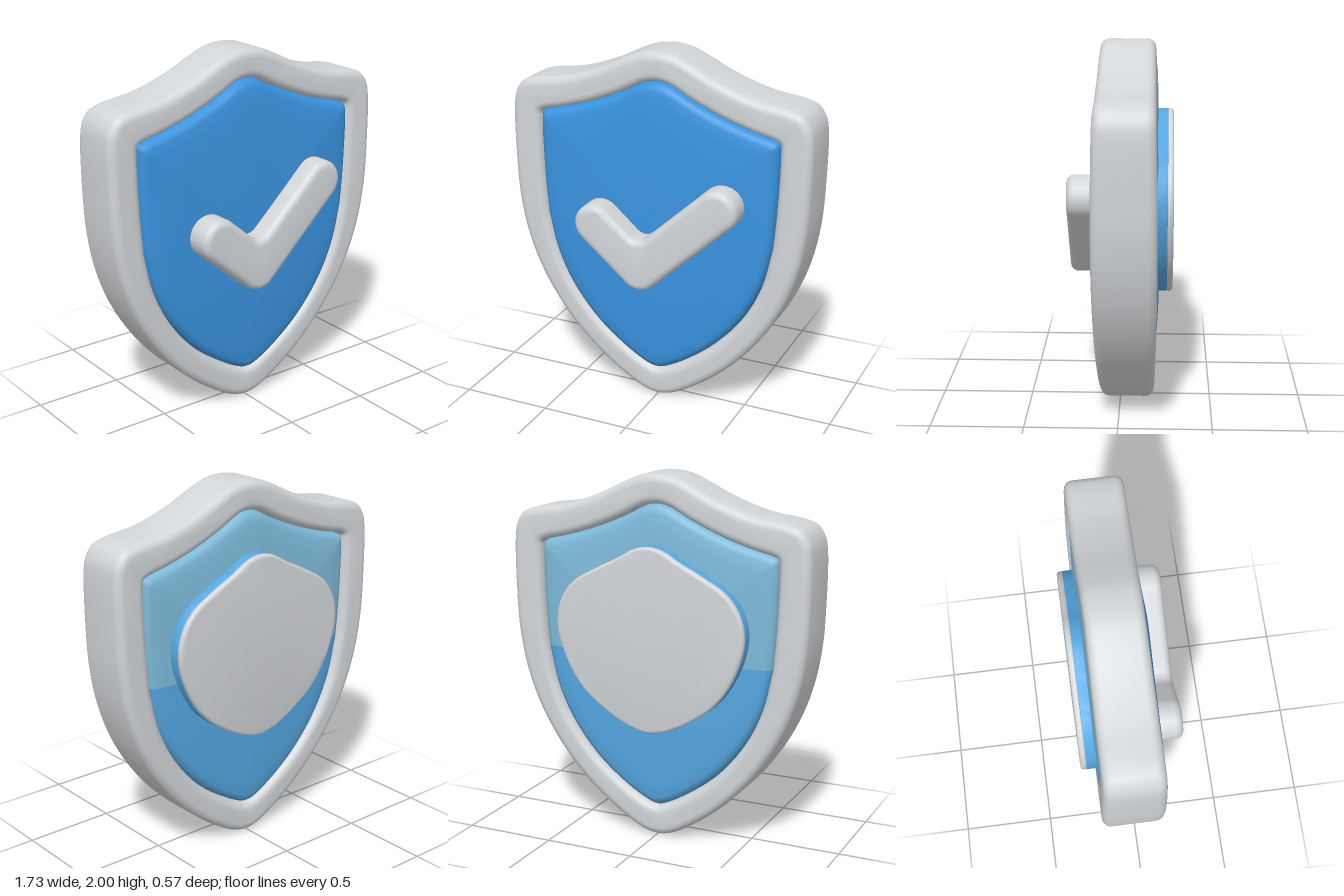
import * as THREE from 'three';
import { toCreasedNormals } from 'three/addons/utils/BufferGeometryUtils.js';

const MID_Y = 1.02; // height where the back panel changes tone

// Smooth curve through [x, y] pairs
function smooth(pairs, closed, n) {
  const curve = new THREE.CatmullRomCurve3(pairs.map(([x, y]) => new THREE.Vector3(x, y, 0)), closed);
  const pts = curve.getPoints(n).map((p) => new THREE.Vector2(p.x, p.y));
  if (closed) pts.pop();
  return pts;
}

// Mirror a right-hand half whose first and last points may lie on x = 0
function mirror(half) {
  const other = half.filter(([x]) => x > 0).reverse().map(([x, y]) => [-x, y]);
  return [...half, ...other];
}

// Rounded slab between two z values, keeping the outline at full size
function slab(shape, zBack, zFront, bevel) {
  const geo = new THREE.ExtrudeGeometry(shape, {
    depth: zFront - zBack - 2 * bevel, curveSegments: 16,
    bevelEnabled: true, bevelSize: bevel, bevelThickness: bevel, bevelOffset: -bevel, bevelSegments: 5,
  });
  return geo.translate(0, 0, zBack + bevel);
}

// Move vertices along z by a rule
function moveZ(geo, rule) {
  const p = geo.attributes.position;
  for (let i = 0; i < p.count; i++) p.setZ(i, rule(p.getX(i), p.getY(i), p.getZ(i)));
  return geo;
}

// Domed sheet: rings of the outline shrinking towards the centre
function dome(points, closed, back) {
  const rings = [[1, 0.04], [0.992, 0.09], [0.975, 0.112], [0.94, 0.124], [0.85, 0.132], [0.6, 0.143], [0.3, 0.15], [0, 0.152]];
  const pos = [], index = [], n = points.length;
  for (const [t, z] of rings) {
    for (const p of points) pos.push(p.x * t, MID_Y + (p.y - MID_Y) * t, back ? -z - 0.065 : z);
  }
  for (let r = 0; r < rings.length - 1; r++) {
    for (let i = 0; i < (closed ? n : n - 1); i++) {
      const j = (i + 1) % n;
      const a = r * n + i, b = r * n + j, c = a + n, d = b + n;
      const tris = r === rings.length - 2 ? [[a, b, c]] : [[a, b, d], [a, d, c]];
      for (const [u, v, w] of tris) index.push(...(back ? [u, w, v] : [u, v, w]));
    }
  }
  const geo = new THREE.BufferGeometry();
  geo.setAttribute('position', new THREE.Float32BufferAttribute(pos, 3));
  geo.setIndex(index);
  geo.computeVertexNormals();
  return geo;
}

// Rounded tick outline around a bent centre line
function tickShape() {
  const A = new THREE.Vector2(-0.295, 1.055), B = new THREE.Vector2(-0.035, 0.83), C = new THREE.Vector2(0.405, 1.237);
  const r = 0.115, q = Math.PI / 2;
  const d1 = B.clone().sub(A).angle() - 2 * Math.PI;
  const d2 = C.clone().sub(B).angle();
  const mid = (d1 + d2) / 2 + q, reach = r / Math.cos((d2 - d1) / 2);
  const K = new THREE.Vector2(B.x + Math.cos(mid) * reach, B.y + Math.sin(mid) * reach);
  const s = new THREE.Shape();
  s.absarc(B.x, B.y, r, d1 - q, d2 - q, false);
  s.absarc(C.x, C.y, r, d2 - q, d2 + q, false);
  s.lineTo(K.x + 0.07 * Math.cos(d2), K.y + 0.07 * Math.sin(d2));
  s.quadraticCurveTo(K.x, K.y, K.x - 0.07 * Math.cos(d1), K.y - 0.07 * Math.sin(d1));
  s.absarc(A.x, A.y, r, d1 + q, d1 + 3 * q, false);
  s.closePath();
  return s;
}

export function createModel() {
  const model = new THREE.Group();
  model.name = 'shield';
  const material = (name, color) => {
    const m = new THREE.MeshStandardMaterial({ color });
    m.name = name;
    return m;
  };
  const grey = material('light grey', 0xd3d6d9);
  const blue = material('blue', 0x3a94e0);
  const backBlue = material('back blue', 0x55a8e2);
  const paleBlue = material('pale back blue', 0x7ebada);
  const add = (name, geo, mat) => {
    const mesh = new THREE.Mesh(geo, mat);
    mesh.name = name;
    model.add(mesh);
  };

  // Outlines
  const outer = smooth(mirror([
    [0, 0], [0.08, 0.015], [0.2, 0.08], [0.38, 0.215], [0.56, 0.405], [0.71, 0.64], [0.8, 0.87],
    [0.845, 1.1], [0.86, 1.35], [0.86, 1.63], [0.845, 1.7], [0.805, 1.755], [0.74, 1.78],
    [0.55, 1.81], [0.35, 1.875], [0.17, 1.96], [0.09, 1.99], [0, 2],
  ]), true, 170);
  const upper = smooth(mirror([
    [0.667, MID_Y], [0.684, 1.25], [0.69, 1.57], [0.685, 1.597], [0.665, 1.61],
    [0.55, 1.638], [0.38, 1.69], [0.2, 1.765], [0.07, 1.83], [0, 1.842],
  ]), false, 90);
  const lower = smooth([
    [-0.667, MID_Y], [-0.615, 0.8], [-0.52, 0.6], [-0.36, 0.4], [-0.17, 0.25], [-0.04, 0.18], [0, 0.172],
    [0.04, 0.18], [0.17, 0.25], [0.36, 0.4], [0.52, 0.6], [0.615, 0.8], [0.667, MID_Y],
  ], false, 60);
  const inner = [...upper, ...lower.slice(1, -1)];

  // Rim, slightly thicker at mid height
  const rimShape = new THREE.Shape(outer);
  rimShape.holes.push(new THREE.Path(inner));
  const rim = moveZ(slab(rimShape, -0.185, 0.105, 0.045), (x, y, z) => z + Math.sign(z + 0.04) * 0.02 * (1 - (y - 1) ** 2));
  add('rim', toCreasedNormals(rim, 0.7), grey);

  // Domed panels
  add('frontPanel', dome(inner, true, false), blue);
  add('backPanelUpper', dome(upper, false, true), paleBlue);
  add('backPanelLower', dome(lower, false, true), backBlue);

  // Tick on the front, its face sloping back towards the long arm
  const tick = moveZ(slab(tickShape(), 0.09, 0.285, 0.04), (x, y, z) => (z > 0.2 ? z - 0.022 * (x + 0.4) / 0.9 : z));
  add('tick', toCreasedNormals(tick, 0.7), grey);

  // Rounded plate on the back with a blue base
  const plate = new THREE.Shape(smooth(mirror([
    [0, 0.62], [0.1, 0.64], [0.25, 0.715], [0.4, 0.835], [0.5, 1.0], [0.545, 1.17], [0.525, 1.3],
    [0.45, 1.41], [0.32, 1.49], [0.18, 1.56], [0.08, 1.615], [0, 1.63],
  ]), true, 110));
  add('backPlateBase', toCreasedNormals(slab(plate, -0.255, -0.15, 0.004), 0.7), backBlue);
  add('backPlate', toCreasedNormals(slab(plate, -0.285, -0.245, 0.018), 0.7), grey);

  return model;
}
